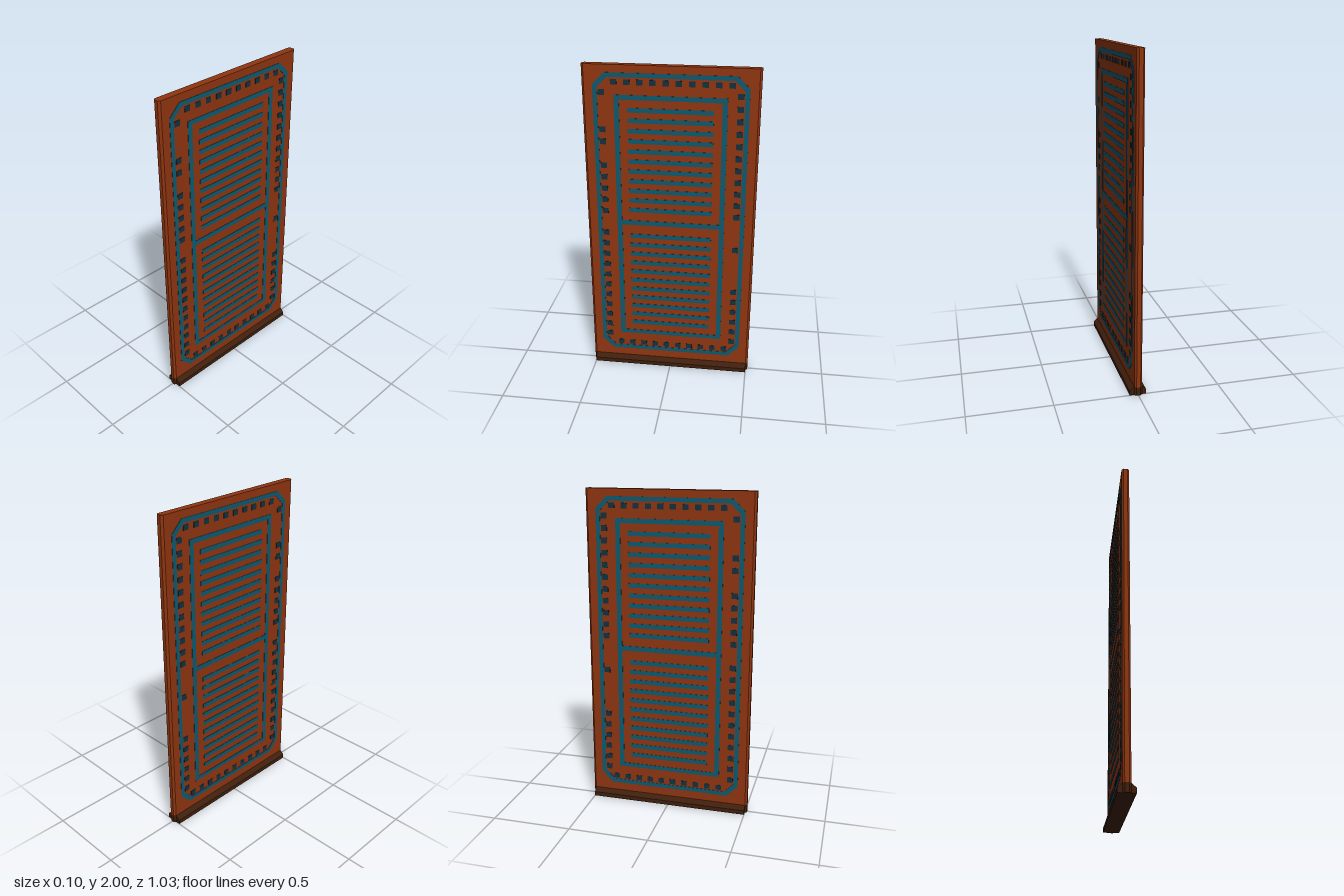
import * as THREE from 'three';

const mat = (name, color) => {
  const m = new THREE.MeshStandardMaterial({ color });
  m.name = name;
  return m;
};

export function createModel() {
  const rust = mat('rust panel', 0x8f3510);
  const teal = mat('teal trim', 0x0e596f);
  const navy = mat('dark studs', 0x13313f);
  const brown = mat('dark brown base', 0x3f1f0d);

  const model = new THREE.Group();
  model.name = 'doorPanel';
  const add = (parent, name, geometry, material) => {
    const mesh = new THREE.Mesh(geometry, material);
    mesh.name = name;
    parent.add(mesh);
    return mesh;
  };
  const shapeOf = (pts) => new THREE.Shape(pts.map(([a, b]) => new THREE.Vector2(a, b)));
  const extrude = (shape, depth) =>
    new THREE.ExtrudeGeometry(shape, { depth, bevelEnabled: false });

  // Slab with chamfered vertical edges, extruded upward
  const section = shapeOf([
    [-0.012, -0.513], [0.012, -0.513], [0.023, -0.5], [0.023, 0.5],
    [0.012, 0.513], [-0.012, 0.513], [-0.023, 0.5], [-0.023, -0.5],
  ]);
  const slab = (y0, y1) => extrude(section, y1 - y0).rotateX(-Math.PI / 2).translate(0, y0, 0);
  add(model, 'panel', slab(0.052, 2), rust);

  // Base rail with sloping shoulders, plus the slab's foot
  add(model, 'baseCore', slab(0, 0.052), brown);
  const rail = shapeOf([
    [-0.05, 0], [0.05, 0], [0.05, 0.027], [0.023, 0.052], [-0.023, 0.052], [-0.05, 0.027],
  ]);
  add(model, 'baseRail', extrude(rail, 1).translate(0, 0, -0.5), brown);

  // Thin decoration: drawn in (z, y) and laid on a face
  const T = 0.002;
  const cutRect = (hw, y0, y1, c) => [
    [-hw + c, y0], [hw - c, y0], [hw, y0 + c], [hw, y1 - c],
    [hw - c, y1], [-hw + c, y1], [-hw, y1 - c], [-hw, y0 + c],
  ];
  const rect = (hw, y0, y1) => [[-hw, y0], [hw, y0], [hw, y1], [-hw, y1]];
  const ring = (outer, inner) => {
    const s = shapeOf(outer);
    s.holes.push(new THREE.Path(inner.map(([a, b]) => new THREE.Vector2(a, b))));
    return extrude(s, T).rotateY(Math.PI / 2);
  };
  const plate = (z, y, w, h) => new THREE.BoxGeometry(T, h, w).translate(T / 2, y, z);

  // Gaps in the two columns of studs
  const gaps = { 1: [11, 17, 20, 21], '-1': [6, 7, 8, 10, 11] };

  for (const side of [1, -1]) {
    const face = new THREE.Group();
    face.name = side > 0 ? 'leftFaceTrim' : 'rightFaceTrim';
    face.position.x = side * 0.023 - (side < 0 ? T : 0);
    model.add(face);

    add(face, 'outerBorder',
      ring(cutRect(0.45, 0.105, 1.955, 0.07), cutRect(0.424, 0.131, 1.929, 0.06)), teal);
    add(face, 'innerFrame',
      ring(rect(0.328, 0.228, 1.828), rect(0.298, 0.254, 1.8)), teal);
    add(face, 'middleBar', plate(0, 1.03, 0.6, 0.03), teal);

    // Two stacks of eleven slats
    for (const top of [1.74, 0.94])
      for (let i = 0; i < 11; i++)
        add(face, 'slat', plate(0, top - i * 0.0625, 0.5, 0.027), teal);

    // Studs along top and bottom
    for (const y of [0.155, 1.902])
      for (let i = 0; i < 10; i++)
        add(face, 'stud', plate(0.327 - i * 0.0752, y, 0.037, 0.032), navy);

    // Studs along both sides
    for (const s of [1, -1])
      for (let i = 0; i < 23; i++)
        if (!gaps[s].includes(i))
          add(face, 'stud', plate(s * 0.4, 0.215 + i * 0.0739, 0.037, 0.034), navy);
  }
  return model;
}
